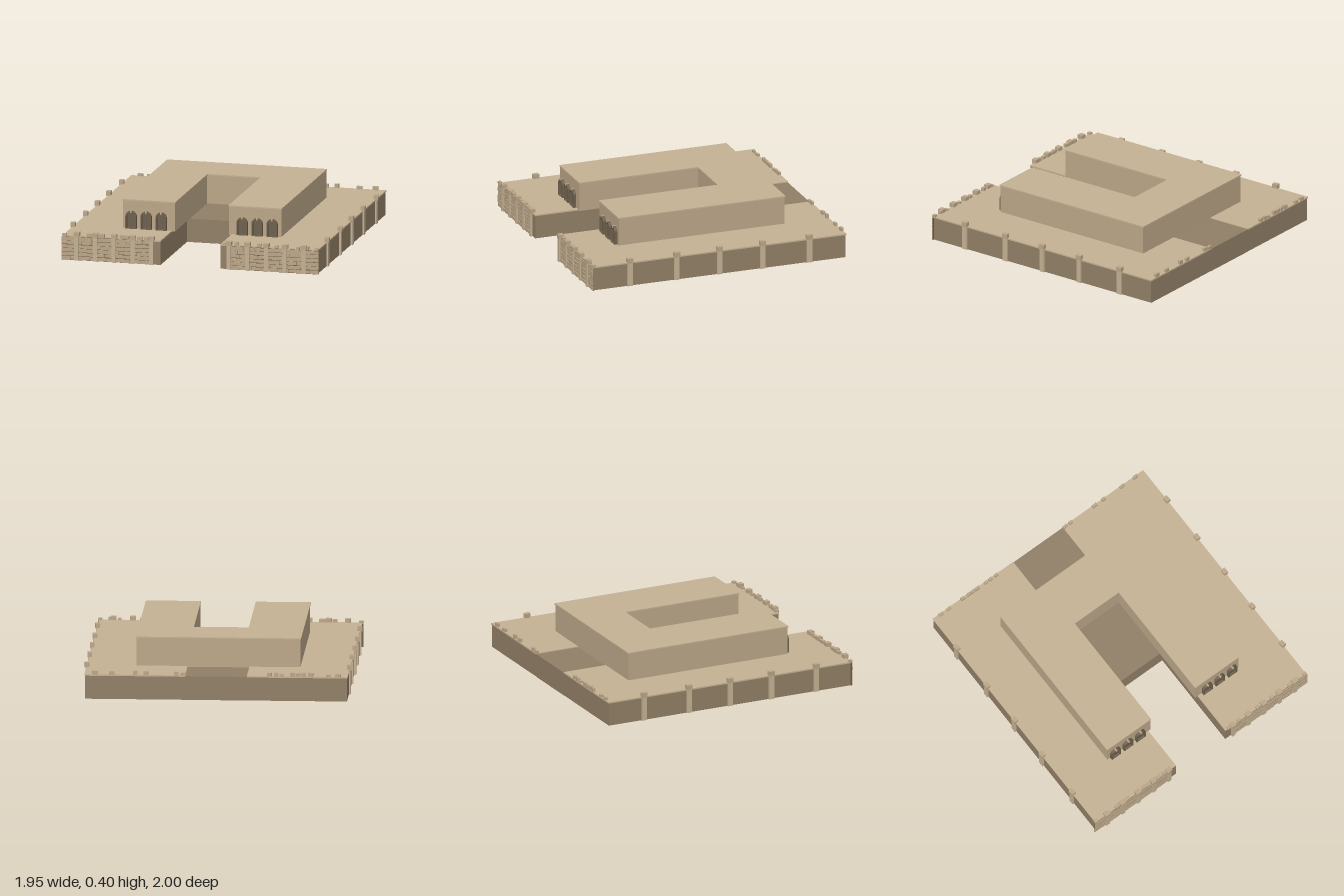
import * as THREE from 'three';

const sand = new THREE.MeshStandardMaterial({ color: 0xc4b193, flatShading: true });
const wall = new THREE.MeshStandardMaterial({ color: 0xbba688, flatShading: true });
const earth = new THREE.MeshStandardMaterial({ color: 0x917f66, flatShading: true });
const shade = new THREE.MeshStandardMaterial({ color: 0x6b6050, flatShading: true });
const joint = new THREE.MeshStandardMaterial({ color: 0x6f604c, flatShading: true });

// Small seeded generator for the uneven masonry
let seed = 7;
const rand = (a, b) => {
  seed = (seed * 16807) % 2147483647;
  return a + (b - a) * (seed / 2147483647);
};

function add(parent, name, geometry, material) {
  const mesh = new THREE.Mesh(geometry, material);
  mesh.name = name;
  parent.add(mesh);
  return mesh;
}

// Box given by its minimum and maximum corners
function box(parent, name, material, [x0, y0, z0], [x1, y1, z1]) {
  const mesh = add(parent, name, new THREE.BoxGeometry(x1 - x0, y1 - y0, z1 - z0), material);
  mesh.position.set((x0 + x1) / 2, (y0 + y1) / 2, (z0 + z1) / 2);
  return mesh;
}

// U-shaped slab open to the front: half width, back, front, notch half width, notch back
function uSlab(parent, name, material, [w, back, front, n, notch], y0, y1) {
  const pts = [[-w, front], [-n, front], [-n, notch], [n, notch], [n, front], [w, front], [w, back], [-w, back]];
  const shape = new THREE.Shape(pts.map(([x, z]) => new THREE.Vector2(x, -z)));
  const geometry = new THREE.ExtrudeGeometry(shape, { depth: y1 - y0, bevelEnabled: false });
  geometry.rotateX(-Math.PI / 2).translate(0, y0, 0);
  return add(parent, name, geometry, material);
}

// Slightly crooked stone block resting on the terrace edge
function stone(parent, name, x, z, w, h, d) {
  const mesh = add(parent, name, new THREE.BoxGeometry(w, h, d), wall);
  mesh.position.set(x, 0.178 + h / 2, z);
  mesh.rotation.y = rand(-0.12, 0.12);
  return mesh;
}

function archPath(target, r, y0, spring) {
  target.moveTo(-r, y0);
  target.lineTo(r, y0);
  target.lineTo(r, spring);
  target.absarc(0, spring, r, 0, Math.PI, false);
  target.lineTo(-r, y0);
  return target;
}

// Arched opening with a raised stone surround and a keystone
function archWindow(x) {
  const group = new THREE.Group();
  group.name = 'archWindow';
  const frame = archPath(new THREE.Shape(), 0.041, 0, 0.092);
  frame.holes.push(archPath(new THREE.Path(), 0.03, 0.006, 0.092));
  add(group, 'archSurround', new THREE.ExtrudeGeometry(frame, { depth: 0.022, bevelEnabled: false, curveSegments: 8 }), joint);
  const panel = archPath(new THREE.Shape(), 0.032, 0, 0.092);
  add(group, 'archPanel', new THREE.ExtrudeGeometry(panel, { depth: 0.006, bevelEnabled: false, curveSegments: 8 }), shade);
  box(group, 'keystone', wall, [-0.006, 0.12, 0], [0.006, 0.135, 0.025]);
  group.position.set(x, 0.181, 0.64);
  return group;
}

// Coursed stone front between x0 and x1
function facade(x0, x1) {
  const group = new THREE.Group();
  group.name = 'stoneFacade';
  box(group, 'mortar', joint, [x0, 0, 0.974], [x1, 0.175, 0.978]);
  const rows = 6, h = 0.174 / rows;
  for (let r = 0; r < rows; r++) {
    let x = x0;
    while (x < x1 - 0.001) {
      let end = x + rand(0.07, 0.17);
      if (end > x1 - 0.04) end = x1;
      box(group, 'facadeStone', wall,
        [x + 0.001, r * h + rand(0.001, 0.005), 0.974],
        [end - 0.001, (r + 1) * h - rand(0, 0.003), rand(0.981, 0.985)]);
      x = end;
    }
  }
  return group;
}

export function createModel() {
  const model = new THREE.Group();
  model.name = 'courtyardBuilding';

  // Lower terrace with an open front passage
  uSlab(model, 'terraceWalls', earth, [0.955, -0.995, 0.973, 0.225, 0.2], 0, 0.172);
  for (const s of [-1, 1]) {
    const x0 = s > 0 ? 0.225 : -0.96, x1 = s > 0 ? 0.96 : -0.225;
    box(model, 'terraceDeck', sand, [x0, 0.172, -1], [x1, 0.182, 0.976]);
  }
  box(model, 'courtyardFloor', earth, [-0.225, 0, -0.997], [0.225, 0.176, 0.21]);

  // Upper house
  uSlab(model, 'houseWalls', wall, [0.597, -0.657, 0.638, 0.203, -0.288], 0.176, 0.388);
  uSlab(model, 'houseRoof', sand, [0.602, -0.662, 0.642, 0.2, -0.285], 0.388, 0.397);
  for (const s of [-1, 1]) for (const x of [0.305, 0.418, 0.531]) model.add(archWindow(s * x));

  // Stone fronts with pillars and caps
  model.add(facade(-0.968, -0.28), facade(0.28, 0.968));
  for (const s of [-1, 1]) {
    for (const x of [0.292, 0.432, 0.573, 0.714, 0.855]) {
      box(model, 'frontPillar', sand, [s * x - 0.015, 0, 0.974], [s * x + 0.015, 0.18, 0.992]);
      stone(model, 'frontPillarCap', s * x, 0.976, 0.042, 0.032, 0.038);
    }
  }

  // Side pillars and caps
  for (const s of [-1, 1]) {
    for (const z of [-0.71, -0.345, -0.01, 0.325, 0.69]) {
      const x = s * 0.957;
      box(model, 'sidePillar', sand, [x - 0.011, 0, z - 0.02], [x + 0.011, 0.18, z + 0.02]);
      stone(model, 'sidePillarCap', x, z, 0.033, 0.036, 0.043);
    }
  }

  // Loose parapet stones along the front and back edges
  for (const x of [-0.95, -0.76, -0.69, -0.66, -0.51, -0.48, -0.38, -0.33, 0.26, 0.35, 0.52, 0.65, 0.81, 0.88, 0.95])
    stone(model, 'frontParapetStone', x, 0.972, rand(0.025, 0.04), rand(0.015, 0.03), 0.025);
  for (const x of [-0.89, -0.82, -0.69, -0.64, -0.6, -0.56, -0.48, -0.44, -0.39, 0.24, 0.29, 0.51, 0.59, 0.76, 0.88])
    stone(model, 'backParapetStone', x, -0.989, rand(0.03, 0.042), rand(0.02, 0.034), 0.02);

  return model;
}
